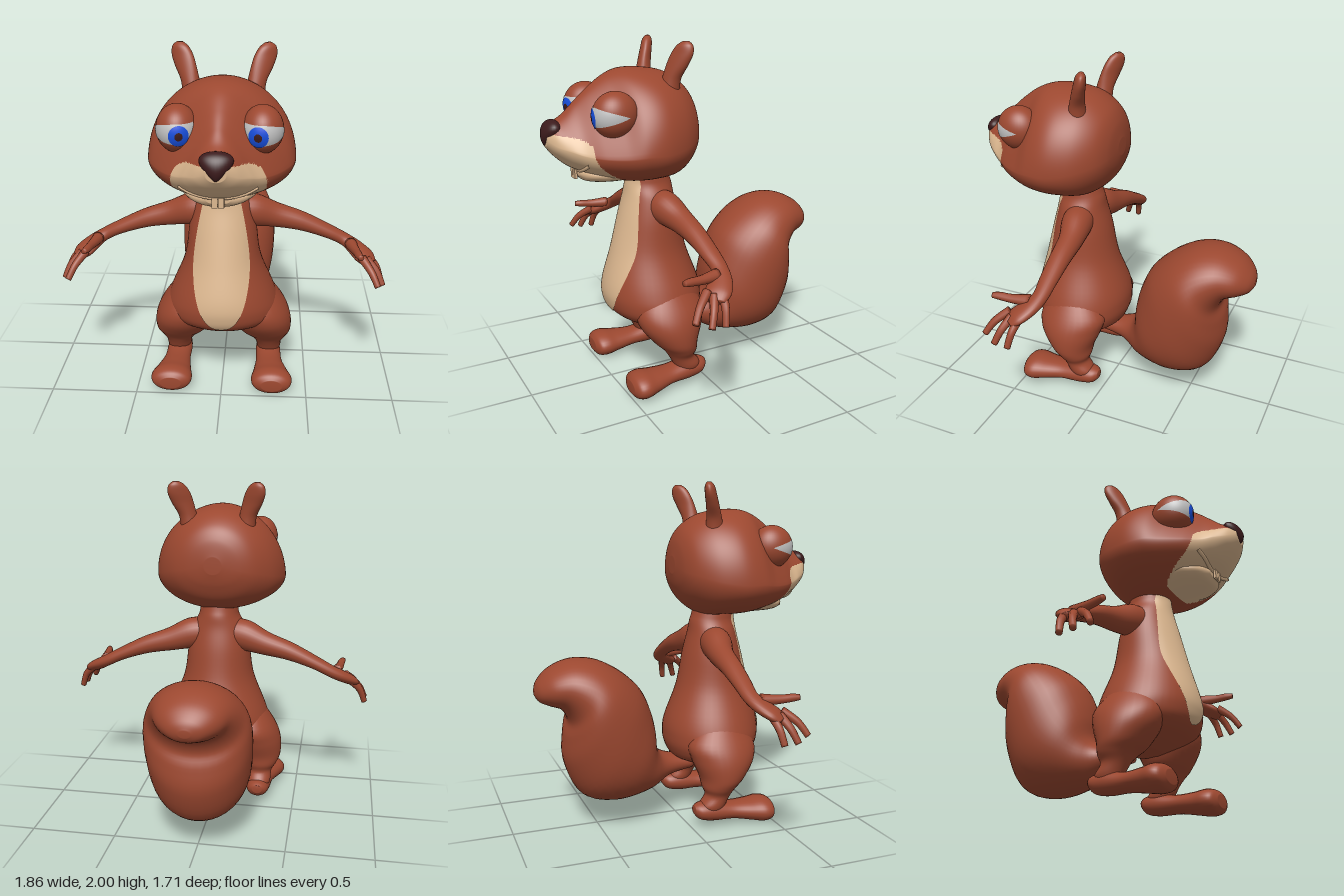
import * as THREE from 'three';

const mat = (name, color, extra = {}) => new THREE.MeshStandardMaterial({ name, color, ...extra });

// Catmull-Rom blend of a list of number rows, t from 0 to 1
function blend(rows, t) {
  const n = rows.length - 1;
  const f = Math.min(Math.max(t, 0), 1) * n;
  const i = Math.min(Math.floor(f), n - 1), k = f - i;
  const [a, b, c, d] = [i - 1, i, i + 1, i + 2].map(j => rows[Math.min(Math.max(j, 0), n)]);
  return b.map((q, m) => {
    const v0 = (c[m] - a[m]) / 2, v1 = (d[m] - q) / 2;
    return (2 * q - 2 * c[m] + v0 + v1) * k ** 3 + (3 * c[m] - 3 * q - 2 * v0 - v1) * k * k + v0 * k + q;
  });
}

// Smooth grid surface facing away from ref; isSecond picks faces for material 1
function surface(fn, nu, nv, wrap, ref, isSecond) {
  const pos = [], cols = wrap ? nv : nv + 1;
  for (let i = 0; i <= nu; i++) for (let j = 0; j < cols; j++) pos.push(...fn(i, j));
  const at = i => new THREE.Vector3().fromArray(pos, i * 3);
  const tris = [];
  let facing = 0;
  for (let i = 0; i < nu; i++) for (let j = 0; j < nv; j++) {
    const a = i * cols + j, b = i * cols + (j + 1) % cols, c = a + cols, d = b + cols;
    tris.push([a, c, b], [b, c, d]);
  }
  const groups = [[], []];
  for (const tri of tris) {
    const [A, B, C] = tri.map(at);
    const mid = A.clone().add(B).add(C).divideScalar(3);
    facing += B.sub(A).cross(C.sub(A)).dot(mid.clone().sub(ref));
    groups[isSecond && isSecond(mid) ? 1 : 0].push(tri);
  }
  const g = new THREE.BufferGeometry();
  g.setAttribute('position', new THREE.Float32BufferAttribute(pos, 3));
  g.setIndex(groups.flat().flatMap(([a, b, c]) => facing < 0 ? [a, c, b] : [a, b, c]));
  if (isSecond) {
    g.addGroup(0, groups[0].length * 3, 0);
    g.addGroup(groups[0].length * 3, groups[1].length * 3, 1);
  }
  g.computeVertexNormals();
  return g;
}

// Closed skin through cross-section rows; point(row, cos, sin) places each vertex
function loft(rows, point, nu = 40, nv = 32, isSecond) {
  return surface((i, j) => {
    const k = i === 0 || i === nu ? 0 : 1, a = j / nv * Math.PI * 2;
    return point(blend(rows, (i - 1) / (nu - 2)), k * Math.cos(a), k * Math.sin(a));
  }, nu, nv, true, new THREE.Vector3(...point(blend(rows, 0.5), 0, 0)), isSecond);
}

// Limb through points [x, y, z, horizontal radius, other radius]
function limb(pts, nu = 30, nv = 20) {
  const P = pts.map(p => new THREE.Vector3(...p));
  const rows = pts.map((p, i) => {
    const t = P[Math.min(i + 1, P.length - 1)].clone().sub(P[Math.max(i - 1, 0)]).normalize();
    const u = new THREE.Vector3(0, 1, 0).cross(t).normalize();
    const v = t.clone().cross(u).multiplyScalar(p[4] ?? p[3]);
    u.multiplyScalar(p[3]);
    return [...P[i].toArray(), ...u.toArray(), ...v.toArray()];
  });
  return loft(rows, (r, c, s) => [0, 1, 2].map(m => r[m] + r[3 + m] * c + r[6 + m] * s), nu, nv);
}

export function createModel() {
  const fur = mat('russet fur', 0x9c4830);
  const cream = mat('cream fur', 0xdcb78f, { side: THREE.DoubleSide });
  const dark = mat('dark nose', 0x3c1b1c, { side: THREE.DoubleSide });
  const white = mat('eye white', 0xc4c4c4, { side: THREE.DoubleSide });
  const blue = mat('blue iris', 0x1850e0, { side: THREE.DoubleSide });
  const root = new THREE.Group();
  root.name = 'squirrel';
  const add = (name, geo, material) => {
    const m = new THREE.Mesh(geo, material);
    m.name = name;
    root.add(m);
    return m;
  };

  // Torso rows: y, centre z, half width, half depth
  const torso = [[1.35, .25, .1, .11], [1.24, .24, .115, .125], [1.19, .235, .125, .135], [1.12, .235, .16, .145],
    [1, .235, .19, .175], [.8, .24, .22, .22], [.6, .23, .3, .28], [.5, .225, .33, .285], [.43, .215, .32, .262],
    [.37, .19, .25, .2], [.32, .18, .1, .09]];
  add('torso', loft(torso, ([y, z, w, d], c, s) => [w * c, y, z + d * s], 60, 48), fur);

  // Belly patch hugging the torso front
  add('belly', surface((i, j) => {
    const [y, z, w, d] = blend(torso, .1 + .7 * i / 70);
    const half = y < .8 ? .16 * Math.sqrt(Math.max(0, 1 - ((.8 - y) / .37) ** 2))
      : .16 - .07 * ((y - .8) / .42) ** 1.5;
    const x = half * (j / 10 - 1);
    return [x, y, z + d * Math.sqrt(1 - (x / w) ** 2) + .006];
  }, 70, 20, false, new THREE.Vector3(0, .8, 0)), cream);

  // Tail rows: upper y, upper z, lower y, lower z, half width
  const tail = [[.36, .1, .28, .1, .06], [.4, -.08, .25, -.05, .09], [.46, -.14, .18, -.2, .17],
    [.58, -.15, .15, -.42, .25], [.7, -.18, .21, -.6, .29], [.82, -.24, .4, -.69, .305], [.93, -.36, .55, -.685, .3],
    [1, -.5, .64, -.66, .265], [1.01, -.64, .72, -.7, .22], [.965, -.76, .75, -.77, .17],
    [.9, -.83, .775, -.825, .1], [.85, -.852, .81, -.85, .03]];
  add('tail', loft(tail, ([yu, zu, yl, zl, w], c, s) =>
    [w * c, (yu + yl) / 2 + s * (yu - yl) / 2, (zu + zl) / 2 + s * (zu - zl) / 2], 60, 40), fur);

  // Head rows: z, top y, widest y, bottom y, half width, pinch between the eyes
  const head = [[-.02, 1.58, 1.53, 1.48, .05, 0], [0, 1.68, 1.5, 1.4, .17, 0], [.05, 1.76, 1.48, 1.31, .265, 0],
    [.15, 1.825, 1.45, 1.24, .35, 0], [.28, 1.85, 1.43, 1.23, .395, 0], [.4, 1.85, 1.43, 1.235, .39, .15],
    [.5, 1.815, 1.42, 1.255, .345, .4], [.6, 1.745, 1.42, 1.285, .28, .5], [.68, 1.675, 1.43, 1.32, .21, .5],
    [.74, 1.62, 1.45, 1.355, .165, .35], [.8, 1.585, 1.47, 1.41, .11, .1], [.84, 1.555, 1.5, 1.46, .05, 0]];
  const headPoint = ([z, top, mid, low, w, p], c, s) =>
    [w * c * (1 - p * Math.max(s, 0)), mid + s * (s > 0 ? top - mid : mid - low), z];
  const isMuzzle = p => p.z > .42 && Math.abs(p.x / .245) ** 2.4 + Math.abs((p.y - 1.385) / .15) ** 2.4 < 1;
  add('head', loft(head, headPoint, 110, 120, isMuzzle), [fur, cream]);

  // Lower jaw, smile and teeth
  const jaw = [[.3, 1.32, 1.28, 1.235, .14, 0], [.5, 1.34, 1.3, 1.24, .195, 0], [.59, 1.345, 1.3, 1.245, .165, 0],
    [.64, 1.34, 1.3, 1.255, .12, 0], [.668, 1.32, 1.3, 1.28, .06, 0]];
  add('jaw', loft(jaw, headPoint), cream);
  const skinZ = (x, y) => {
    for (let t = 1; t > 0; t -= .002) {
      const [z, top, mid, low, w, p] = blend(head, t);
      const s = (y - mid) / (y > mid ? top - mid : mid - low);
      if (Math.abs(s) < 1 && Math.abs(x) < w * Math.sqrt(1 - s * s) * (1 - p * Math.max(s, 0))) return z;
    }
    return .6;
  };
  const smile = [-.2, -.14, -.07, 0, .07, .14, .2].map(x => {
    const y = 1.315 + 1.5 * x * x;
    return new THREE.Vector3(x, y, skinZ(x, y));
  });
  add('smile', new THREE.TubeGeometry(new THREE.CatmullRomCurve3(smile), 40, .011, 8), cream);
  for (const s of [1, -1]) {
    add('tooth', new THREE.BoxGeometry(.03, .055, .014), cream).position.set(s * .017, 1.295, .682);
  }

  // Nose: a sphere narrowed toward the bottom
  const nose = new THREE.SphereGeometry(1, 32, 24), np = nose.attributes.position;
  for (let i = 0; i < np.count; i++) {
    const y = np.getY(i);
    np.setXYZ(i, np.getX(i) * .1 * (.72 + .5 * y), 1.525 + y * .075, .8 + np.getZ(i) * .058 + y * -.008);
  }
  nose.computeVertexNormals();
  add('nose', nose, dark);

  for (const s of [1, -1]) {
    const side = s > 0 ? 'left' : 'right';

    // Eye: closed lid ball with a tapered white slit, iris and pupil laid on it
    const eye = new THREE.Vector3(s * .217, 1.635, .52);
    const lid = add(side + 'Eyelid', new THREE.SphereGeometry(1, 40, 28), fur);
    lid.scale.set(.108, .125, .125);
    lid.position.copy(eye);
    const onEye = (lon, lat, k) => [eye.x + s * .108 * k * Math.sin(lon) * Math.cos(lat),
      eye.y + .125 * k * Math.sin(lat), eye.z + .125 * k * Math.cos(lon) * Math.cos(lat)];
    add(side + 'EyeWhite', surface((i, j) => {
      const lon = -1.05 + 2.95 * i / 40;
      const half = lon < 0 ? .43 : .43 * (1 - (lon / 1.9) ** 1.6);
      return onEye(lon, -.03 + half * (j / 5 - 1), 1.015);
    }, 40, 10, false, eye), white);
    const disc = (r0, r1, k) => surface((i, j) => {
      const r = r0 + (r1 - r0) * i / 4, a = j / 32 * Math.PI * 2;
      return onEye(-.2 + 1.1 * r * Math.cos(a), -.1 + r * Math.sin(a), k);
    }, 4, 32, true, eye);
    add(side + 'Iris', disc(.16, .44, 1.03), blue);
    add(side + 'Pupil', disc(0, .17, 1.033), dark);

    // Ear rows: x, y, z, half width, half thickness
    const ear = [[.165, 1.73, .18, .06, .055], [.18, 1.8, .17, .055, .045], [.205, 1.87, .15, .066, .038],
      [.224, 1.93, .13, .068, .034], [.235, 1.975, .118, .05, .028], [.238, 1.998, .112, .018, .012]];
    add(side + 'Ear', loft(ear, ([x, y, z, a, b], c, q) =>
      [s * (x + a * .88 * c + b * .45 * q), y, z - a * .47 * c + b * .88 * q]), fur);

    // Arm, palm, fingers and thumb
    const m = pts => pts.map(([x, ...rest]) => [s * x, ...rest]);
    add(side + 'Arm', limb(m([[.05, 1.08, .22, .09, .09], [.17, 1.065, .2, .09, .095], [.3, 1.025, .175, .07, .072],
      [.45, .985, .165, .06, .055], [.6, .925, .16, .052, .04], [.7, .875, .16, .045, .036],
      [.76, .84, .19, .06, .036], [.815, .803, .24, .07, .032], [.85, .775, .27, .045, .018]]), 50, 24), fur);
    const fingers = [[[.795, .815, .29], [.845, .76, .36], [.88, .69, .405]],
      [[.82, .8, .265], [.88, .74, .3], [.915, .665, .33]],
      [[.83, .8, .22], [.885, .74, .235], [.915, .66, .25]]];
    for (const [a, b, c] of fingers) {
      add(side + 'Finger', limb(m([[...a, .026], [...b, .021], [...c, .018]]), 14, 12), fur);
    }
    add(side + 'Thumb', limb(m([[.735, .865, .2, .035], [.755, .865, .3, .025], [.765, .87, .37, .022],
      [.775, .872, .41, .016]]), 14, 12), fur);

    // Leg rows: x, y, z, half width, half depth
    const leg = [[.19, .64, .22, .07, .1], [.21, .5, .21, .15, .2], [.232, .4, .215, .17, .19],
      [.252, .3, .2, .155, .135], [.27, .24, .175, .115, .1], [.275, .19, .165, .08, .076],
      [.278, .13, .13, .072, .08], [.28, .08, .13, .05, .06]];
    add(side + 'Leg', loft(leg, ([x, y, z, w, d], c, q) => [s * (x + w * c), y, z + d * q]), fur);

    // Foot rows: z, x, y, half width, half height
    const foot = [[.015, .278, .11, .03, .025], [.05, .275, .1, .062, .05], [.13, .275, .095, .075, .062],
      [.25, .28, .085, .078, .053], [.36, .29, .078, .102, .064], [.43, .296, .076, .12, .074],
      [.48, .296, .074, .108, .064], [.505, .296, .074, .06, .036]];
    add(side + 'Foot', loft(foot, ([z, x, y, w, h], c, q) => [s * (x + w * c), y + h * q, z]), fur);
  }
  return root;
}
